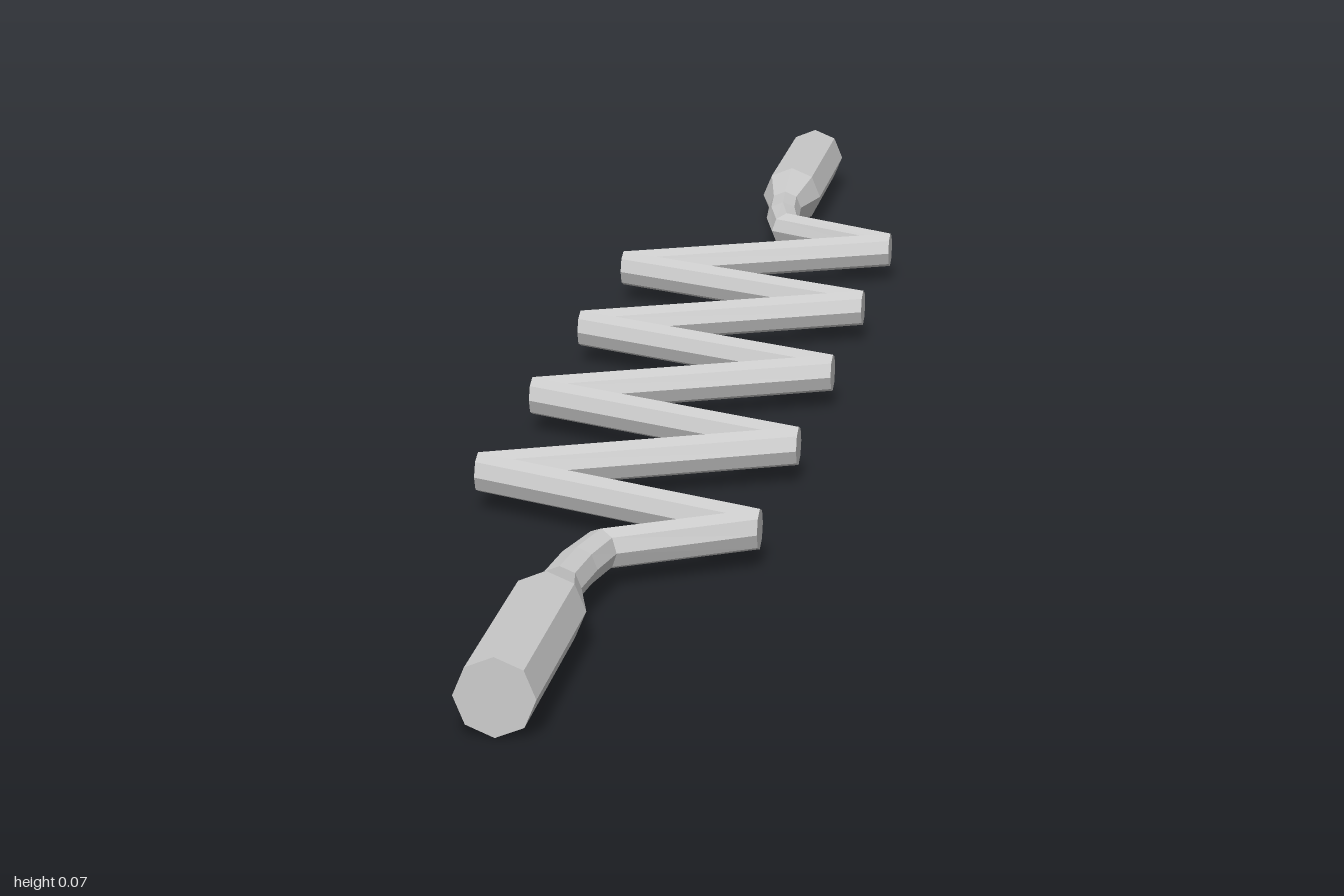
import * as THREE from 'three';

const SIDES = 8;
const ROD = 0.0195;    // radius of the thin rod
const GRIP = 0.035;    // radius of the thick ends
const PEAK = 0.146;    // half width of the zigzag
const STEP = 0.1325;   // z distance from one corner to the next

const material = new THREE.MeshStandardMaterial({ color: 0xcccccc, flatShading: true });

// Capped octagonal tube through sections [x, z, radius, heading in degrees]; heading 0 is -z, 90 is +x
function tube(name, sections) {
  const pos = [], index = [], n = sections.length;
  for (const [x, z, r, deg] of sections) {
    const a = THREE.MathUtils.degToRad(deg);
    for (let j = 0; j < SIDES; j++) {
      const t = (j / SIDES) * Math.PI * 2;
      const u = r * Math.cos(t);
      pos.push(x + u * Math.cos(a), r * Math.sin(t), z + u * Math.sin(a));
    }
  }
  for (let i = 0; i < n - 1; i++) {
    for (let j = 0; j < SIDES; j++) {
      const k = (j + 1) % SIDES;
      const a = i * SIDES + j, b = a + SIDES, c = (i + 1) * SIDES + k, d = i * SIDES + k;
      index.push(a, b, d, b, c, d);
    }
  }
  const last = (n - 1) * SIDES;
  for (let j = 1; j < SIDES - 1; j++) {
    index.push(0, j, j + 1, last, last + j + 1, last + j);
  }
  const indexed = new THREE.BufferGeometry();
  indexed.setAttribute('position', new THREE.Float32BufferAttribute(pos, 3));
  indexed.setIndex(index);
  const geometry = indexed.toNonIndexed();
  geometry.computeVertexNormals();
  const mesh = new THREE.Mesh(geometry, material);
  mesh.name = name;
  return mesh;
}

export function createModel() {
  const model = new THREE.Group();
  model.name = 'zigzagSpring';

  // Zigzag: sheared bars whose flat ends meet at each corner
  const zigzag = new THREE.Group();
  zigzag.name = 'zigzag';
  for (let i = 0; i < 8; i++) {
    const z0 = (4 - i) * STEP, z1 = z0 - STEP;
    const [zLow, zHigh] = i % 2 ? [z0, z1] : [z1, z0];
    zigzag.add(tube('zigzagBar', [[-PEAK, zLow, ROD, 90], [PEAK, zHigh, ROD, 90]]));
  }
  model.add(zigzag);

  // Thick end, tapered neck and bent lead into the first corner; turned over for the other end
  for (const name of ['frontEnd', 'backEnd']) {
    const end = tube(name, [
      [-0.004, 1, GRIP, 0],
      [-0.004, 0.78, GRIP, 0],
      [-0.004, 0.72, ROD, 0],
      [0.001, 0.665, ROD, 9],
      [0.013, 0.61, ROD, 35],
      [PEAK, 4 * STEP, ROD, 90],
    ]);
    if (name === 'backEnd') end.rotation.x = Math.PI;
    model.add(end);
  }

  for (const part of model.children) part.position.y = GRIP;
  return model;
}
